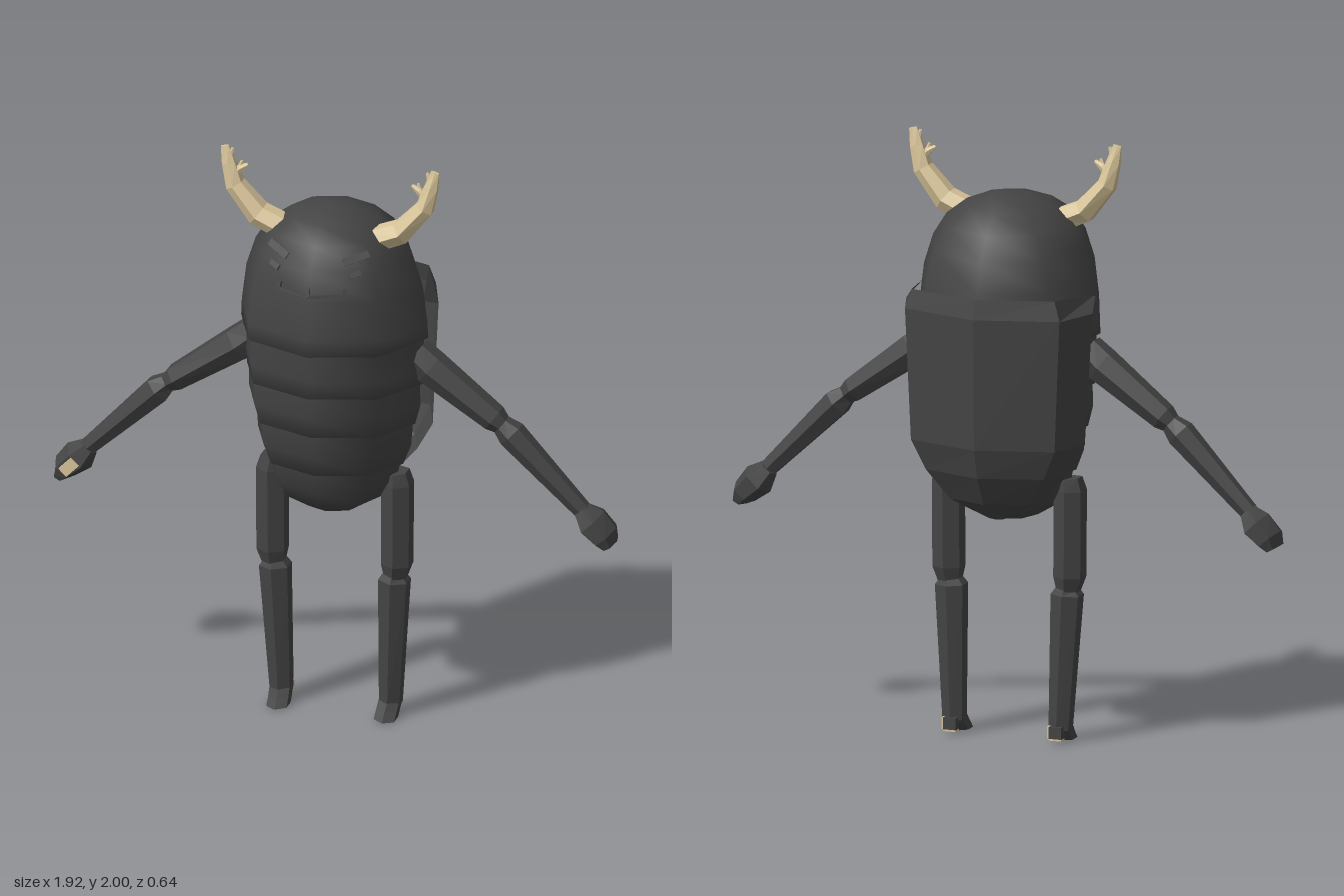
import * as THREE from 'three';

const dark = new THREE.MeshStandardMaterial({ color: 0x444444 });
dark.name = 'charcoal';
const darkOpen = new THREE.MeshStandardMaterial({ color: 0x444444, side: THREE.DoubleSide });
darkOpen.name = 'charcoal shell';
const tan = new THREE.MeshStandardMaterial({ color: 0xd9c59a });
tan.name = 'horn tan';

function add(parent, name, geometry, material) {
  const mesh = new THREE.Mesh(geometry, material);
  mesh.name = name;
  parent.add(mesh);
  return mesh;
}

function flatGeometry(positions, index) {
  const g = new THREE.BufferGeometry();
  g.setAttribute('position', new THREE.Float32BufferAttribute(positions, 3));
  g.setIndex(index);
  const flat = g.toNonIndexed();
  flat.computeVertexNormals();
  return flat;
}

// Faceted tube through sections [x, y, z, half thickness in xy, half thickness in z]
function loft(sections, side = 1, phase = Math.PI / 6, sides = 6) {
  const secs = sections.map(([x, ...rest]) => [x * side, ...rest]);
  const pos = [], index = [], n = secs.length;
  secs.forEach(([x, y, z, h, d], i) => {
    const a = secs[Math.max(i - 1, 0)], b = secs[Math.min(i + 1, n - 1)];
    const t = new THREE.Vector2(b[0] - a[0], b[1] - a[1]).normalize();
    for (let j = 0; j < sides; j++) {
      const q = phase + (j / sides) * Math.PI * 2;
      pos.push(x - t.y * h * Math.cos(q), y + t.x * h * Math.cos(q), z + d * Math.sin(q));
    }
  });
  const start = n * sides, end = start + 1;
  pos.push(...secs[0].slice(0, 3), ...secs[n - 1].slice(0, 3));
  for (let j = 0; j < sides; j++) {
    const k = (j + 1) % sides, last = (n - 1) * sides;
    for (let i = 0; i < n - 1; i++) {
      const a = i * sides + j, b = i * sides + k;
      index.push(a, b, b + sides, a, b + sides, a + sides);
    }
    index.push(start, k, j, end, last + j, last + k);
  }
  return flatGeometry(pos, index);
}

// Smooth eight-sided ring of the body, its edge rising toward the front
function ring(profile, tilt) {
  const g = new THREE.LatheGeometry(profile.map(([r, y]) => new THREE.Vector2(r, y)), 8);
  const p = g.attributes.position;
  for (let i = 0; i < p.count; i++) {
    const z = p.getZ(i), r = Math.hypot(p.getX(i), z);
    p.setY(i, p.getY(i) + tilt * z * Math.min(1, r / 0.2));
    if (z < 0) p.setZ(i, z * 0.94);
  }
  g.computeVertexNormals();
  // join the normals across the lathe seam
  const rows = profile.length, nrm = g.attributes.normal;
  for (let i = 0; i < rows; i++) {
    const e = 8 * rows + i;
    const v = new THREE.Vector3().fromBufferAttribute(nrm, i)
      .add(new THREE.Vector3().fromBufferAttribute(nrm, e)).normalize();
    nrm.setXYZ(i, v.x, v.y, v.z);
    nrm.setXYZ(e, v.x, v.y, v.z);
  }
  return g;
}

const headProfile = [[0.28, 1.35], [0.32, 1.375], [0.318, 1.43], [0.302, 1.56], [0.27, 1.66],
  [0.222, 1.735], [0.15, 1.79], [0.07, 1.816], [0, 1.82]];

function headRadius(y) {
  for (let i = 1; i < headProfile.length; i++) {
    const [r0, y0] = headProfile[i - 1], [r1, y1] = headProfile[i];
    if (y <= y1) return r0 + ((r1 - r0) * (y - y0)) / (y1 - y0);
  }
  return 0;
}

// Thin bar lying on the front of the head
function faceBar(parent, name, x, y, w, h, roll = 0) {
  const bar = add(parent, name, new THREE.BoxGeometry(w, h, 0.02), dark);
  const slope = (headRadius(y + 0.02) - headRadius(y - 0.02)) / 0.04;
  bar.position.set(x, y, headRadius(y) - 0.414 * Math.abs(x) + 0.004);
  bar.rotation.set(Math.atan(slope), Math.sign(x) * Math.PI / 8, roll, 'YXZ');
}

// Wing case from rows [y, half width, z of front edge, depth]
function shellGeometry() {
  const rows = [[1.525, 0.303, 0, 0.308], [1.46, 0.328, -0.09, 0.322], [1.02, 0.305, -0.1, 0.315],
    [0.92, 0.25, -0.1, 0.288], [0.82, 0.165, -0.1, 0.23], [0.75, 0.03, -0.1, 0.13]];
  const pos = [], index = [];
  rows.forEach(([y, w, f, d], i) => {
    const mid = -0.1 - (d - 0.1) * 0.64;
    const edgeY = i === 0 ? y - 0.02 : y;
    pos.push(-w, edgeY, f, -0.83 * w, y, mid, 0, y, -d, 0.83 * w, y, mid, w, edgeY, f);
    if (i === 0) return;
    for (let j = 0; j < 4; j++) {
      const a = (i - 1) * 5 + j, b = a + 5;
      index.push(a, a + 1, b + 1, a, b + 1, b);
    }
  });
  return flatGeometry(pos, index);
}

export function createModel() {
  const model = new THREE.Group();
  model.name = 'hornedBeetle';

  // Head dome and overlapping belly rings
  add(model, 'head', ring(headProfile, 0.09), dark);
  const belly = [
    [[0.26, 1.19], [0.3, 1.205], [0.308, 1.27], [0.305, 1.37]],
    [[0.24, 1.045], [0.276, 1.06], [0.294, 1.13], [0.292, 1.21]],
    [[0.2, 0.895], [0.235, 0.91], [0.262, 0.98], [0.268, 1.06]],
    [[0, 0.73], [0.1, 0.748], [0.17, 0.79], [0.212, 0.85], [0.226, 0.92]],
  ];
  belly.forEach((p, i) => add(model, `bellyRing${i + 1}`, ring(p, i === 3 ? 0.06 : 0.12), dark));

  // Wing case on the back
  add(model, 'wingCase', shellGeometry(), darkOpen);

  for (const s of [1, -1]) {
    const label = s > 0 ? 'left' : 'right';

    // Face
    faceBar(model, `${label}Brow`, s * 0.13, 1.715, 0.09, 0.025, s * 0.3);
    faceBar(model, `${label}Eye`, s * 0.135, 1.67, 0.04, 0.02, s * 0.3);
    faceBar(model, `${label}MouthHalf`, s * 0.055, 1.605, 0.12, 0.01);
    faceBar(model, `${label}MouthCorner`, s * 0.11, 1.615, 0.012, 0.025);

    // Antler with a forked tine
    const antler = new THREE.Group();
    antler.name = `${label}Antler`;
    model.add(antler);
    add(antler, 'beam', loft([[0.13, 1.72, 0.05, 0.045, 0.048], [0.245, 1.77, 0.05, 0.043, 0.048],
      [0.325, 1.865, 0.05, 0.034, 0.036], [0.346, 1.94, 0.05, 0.026, 0.02],
      [0.36, 1.998, 0.05, 0.016, 0.006]], s), tan);
    add(antler, 'tine', loft([[0.335, 1.895, 0.05, 0.018, 0.018], [0.305, 1.925, 0.05, 0.014, 0.012],
      [0.28, 1.94, 0.05, 0.006, 0.005]], s), tan);
    add(antler, 'tineFork', loft([[0.312, 1.915, 0.05, 0.012, 0.01], [0.302, 1.95, 0.05, 0.005, 0.004]], s), tan);
    add(antler, 'tipFork', loft([[0.348, 1.95, 0.05, 0.014, 0.01], [0.333, 1.992, 0.05, 0.006, 0.004]], s), tan);

    // Arm
    const arm = new THREE.Group();
    arm.name = `${label}Arm`;
    model.add(arm);
    add(arm, 'upperArm', loft([[0.275, 1.315, -0.003, 0.06, 0.05], [0.33, 1.27, -0.003, 0.062, 0.057],
      [0.545, 1.115, -0.005, 0.046, 0.048], [0.575, 1.092, -0.005, 0.032, 0.035]], s), dark);
    add(arm, 'forearm', loft([[0.565, 1.1, -0.005, 0.032, 0.035], [0.605, 1.065, -0.005, 0.05, 0.046],
      [0.85, 0.82, -0.008, 0.032, 0.028]], s), dark);
    add(arm, 'hand', loft([[0.842, 0.825, -0.01, 0.032, 0.035], [0.878, 0.785, -0.015, 0.056, 0.07],
      [0.925, 0.74, -0.015, 0.045, 0.07], [0.942, 0.71, -0.015, 0.023, 0.055]], s, 0), dark);

    // Leg and foot
    const leg = new THREE.Group();
    leg.name = `${label}Leg`;
    model.add(leg);
    add(leg, 'thigh', loft([[0.21, 0.88, -0.003, 0.045, 0.045], [0.215, 0.84, -0.003, 0.055, 0.055],
      [0.213, 0.55, -0.003, 0.055, 0.054], [0.208, 0.5, -0.003, 0.04, 0.04]], s), dark);
    add(leg, 'shin', loft([[0.206, 0.51, -0.003, 0.04, 0.04], [0.204, 0.49, -0.003, 0.056, 0.052],
      [0.187, 0.04, -0.018, 0.04, 0.042]], s), dark);
    add(leg, 'foot', loft([[0.187, 0.05, -0.015, 0.04, 0.045], [0.185, 0.025, 0.005, 0.04, 0.045],
      [0.184, 0, 0.028, 0.04, 0.046]], s), dark);
    add(leg, 'heel', new THREE.BoxGeometry(0.045, 0.04, 0.03), dark).position.set(s * 0.186, 0.033, -0.052);
    add(leg, 'heelPadUnder', new THREE.BoxGeometry(0.045, 0.006, 0.03), tan).position.set(s * 0.186, 0.01, -0.052);
    add(leg, 'heelPadSide', new THREE.BoxGeometry(0.006, 0.04, 0.03), tan).position.set(s * 0.186 + 0.025, 0.033, -0.052);
  }

  // Small centre mark over the mouth, and the palm patch on the right hand
  faceBar(model, 'mouthCentre', 0, 1.62, 0.008, 0.035);
  const palm = add(model, 'rightPalmPatch', new THREE.BoxGeometry(0.06, 0.038, 0.009), tan);
  palm.position.set(-0.897, 0.765, 0.046);
  palm.rotation.z = 0.8;

  return model;
}
